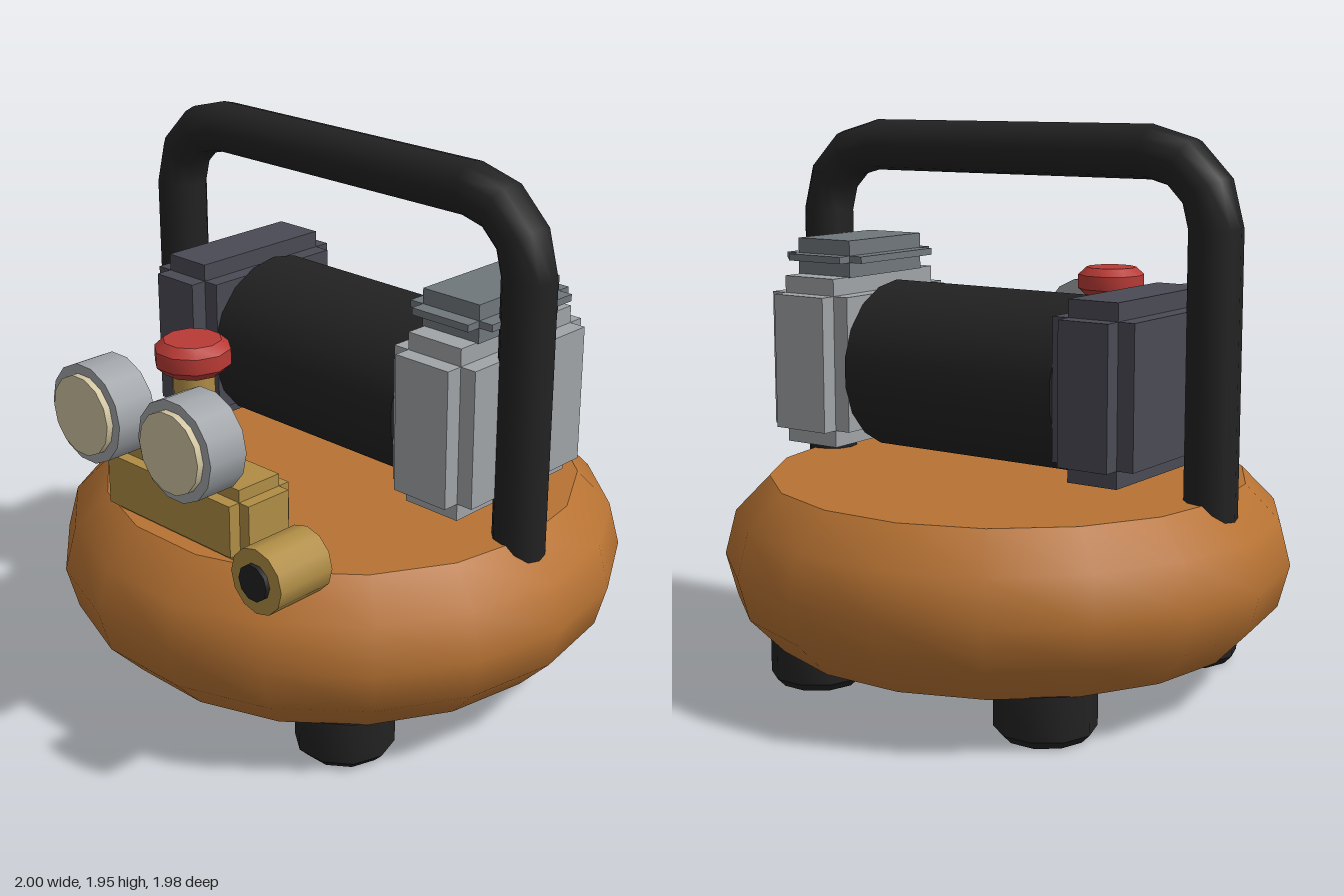
import * as THREE from 'three';
import { toCreasedNormals } from 'three/addons/utils/BufferGeometryUtils.js';

const mat = (name, color) => Object.assign(new THREE.MeshStandardMaterial({ color }), { name });

export function createModel() {
  const copper = mat('copper tank', 0xb87333);
  const black = mat('black rubber', 0x222222);
  const silver = mat('light grey metal', 0xa0a4a8);
  const steel = mat('mid grey metal', 0x70777b);
  const slate = mat('dark slate', 0x4a4a55);
  const brass = mat('brass', 0xb08d45);
  const red = mat('red knob', 0xb93a35);
  const cream = mat('cream dial', 0xd0c4a0);

  const model = new THREE.Group();
  model.name = 'airCompressor';

  const add = (name, geometry, material, x, y, z, parent = model) => {
    const mesh = new THREE.Mesh(geometry, material);
    mesh.name = name;
    mesh.position.set(x, y, z);
    parent.add(mesh);
    return mesh;
  };

  // Solid of revolution with a corner on the x axis and crisp caps
  const turned = (profile, sides) => toCreasedNormals(
    new THREE.LatheGeometry(profile.map(([r, y]) => new THREE.Vector2(r, y)), sides, Math.PI / 2), 0.75);

  // Block with stepped edges: three crossing boxes, each full size on one axis
  const steppedBlock = (name, material, [x, y, z], size, inset) => {
    const group = new THREE.Group();
    group.name = name;
    group.position.set(x, y, z);
    for (let axis = 0; axis < 3; axis++) {
      const dims = size.map((s, i) => (i === axis ? s : s - 2 * inset));
      add(name + 'Layer', new THREE.BoxGeometry(...dims), material, 0, 0, 0, group);
    }
    model.add(group);
  };

  // Cylinder lying along z, spanning z0 to z1
  const zCylinder = (name, r, z0, z1, sides, material, x, y) => {
    const geometry = new THREE.CylinderGeometry(r, r, z1 - z0, sides, 1, false, Math.PI / 2);
    geometry.rotateX(Math.PI / 2);
    return add(name, geometry, material, x, y, (z0 + z1) / 2);
  };

  // Pancake tank
  add('tank', turned([[0, 0.175], [0.84, 0.175], [0.96, 0.3], [1, 0.45],
    [0.96, 0.605], [0.84, 0.728], [0, 0.728]], 18), copper, 0, 0, -0.007);

  // Four rubber feet
  const footGeometry = turned([[0, 0], [0.14, 0], [0.17, 0.03], [0.17, 0.18], [0, 0.18]], 10);
  for (const x of [-0.48, 0.48])
    for (const z of [-0.488, 0.474]) add('foot', footGeometry, black, x, 0, z);

  // Carrying handle: straight runs joined by three-step bends
  const path = new THREE.CurvePath();
  const points = [new THREE.Vector3(-0.81, 0.62, 0)];
  for (const side of [-1, 1])
    for (let i = 0; i <= 3; i++) {
      const a = (side < 0 ? i : 3 - i) * Math.PI / 6;
      points.push(new THREE.Vector3(side * (0.57 + 0.24 * Math.cos(a)), 1.62 + 0.24 * Math.sin(a), 0));
    }
  points.push(new THREE.Vector3(0.81, 0.62, 0));
  // Rings are mitred at each path point
  const sides = 12, positions = [], index = [];
  points.forEach((p, k) => {
    const before = points[Math.max(k - 1, 0)], after = points[Math.min(k + 1, points.length - 1)];
    const t = after.clone().sub(before).normalize();
    for (let j = 0; j < sides; j++) {
      const a = (j / sides) * Math.PI * 2, r = 0.09;
      positions.push(p.x - t.y * r * Math.cos(a), p.y + t.x * r * Math.cos(a), r * Math.sin(a));
      if (k < points.length - 1) {
        const m = k * sides + j, n = k * sides + (j + 1) % sides;
        index.push(m, m + sides, n, n, m + sides, n + sides);
      }
    }
  });
  const handleGeometry = new THREE.BufferGeometry();
  handleGeometry.setAttribute('position', new THREE.Float32BufferAttribute(positions, 3));
  handleGeometry.setIndex(index);
  handleGeometry.computeVertexNormals();
  black.side = THREE.DoubleSide;
  add('handle', handleGeometry, black, 0, 0, -0.007);

  // Motor between the end housing and the pump block
  const motorGeometry = new THREE.CylinderGeometry(0.298, 0.298, 0.85, 18, 1, false, Math.PI / 2);
  motorGeometry.rotateZ(Math.PI / 2);
  add('motor', motorGeometry, black, 0, 1.09, -0.095);
  steppedBlock('motorHousing', slate, [-0.577, 1.112, -0.093], [0.305, 0.595, 0.68], 0.06);
  steppedBlock('pumpBlock', silver, [0.595, 1.112, -0.093], [0.34, 0.595, 0.68], 0.06);
  steppedBlock('cylinderHead', steel, [0.595, 1.472, -0.09], [0.34, 0.13, 0.51], 0.053);

  // Brass manifold with regulator stem and knob
  steppedBlock('manifold', brass, [0, 0.853, 0.675], [0.68, 0.265, 0.26], 0.043);
  add('regulatorStem', new THREE.CylinderGeometry(0.07, 0.07, 0.34, 10, 1, false, Math.PI / 2),
    brass, 0, 1.14, 0.675);
  add('regulatorKnob', turned([[0, 0], [0.095, 0], [0.125, 0.028], [0.125, 0.08], [0.095, 0.108], [0, 0.108]], 10),
    red, 0, 1.285, 0.675);

  // Pair of pressure gauges
  for (const x of [-0.213, 0.213]) {
    zCylinder('gaugeCase', 0.168, 0.803, 0.95, 14, silver, x, 1.153);
    zCylinder('gaugeDial', 0.135, 0.94, 0.973, 14, cream, x, 1.153);
  }

  // Outlet coupling
  zCylinder('outletCoupling', 0.108, 0.757, 0.972, 12, brass, 0.592, 0.855);
  zCylinder('outletBore', 0.06, 0.96, 0.987, 10, black, 0.592, 0.855);

  return model;
}
